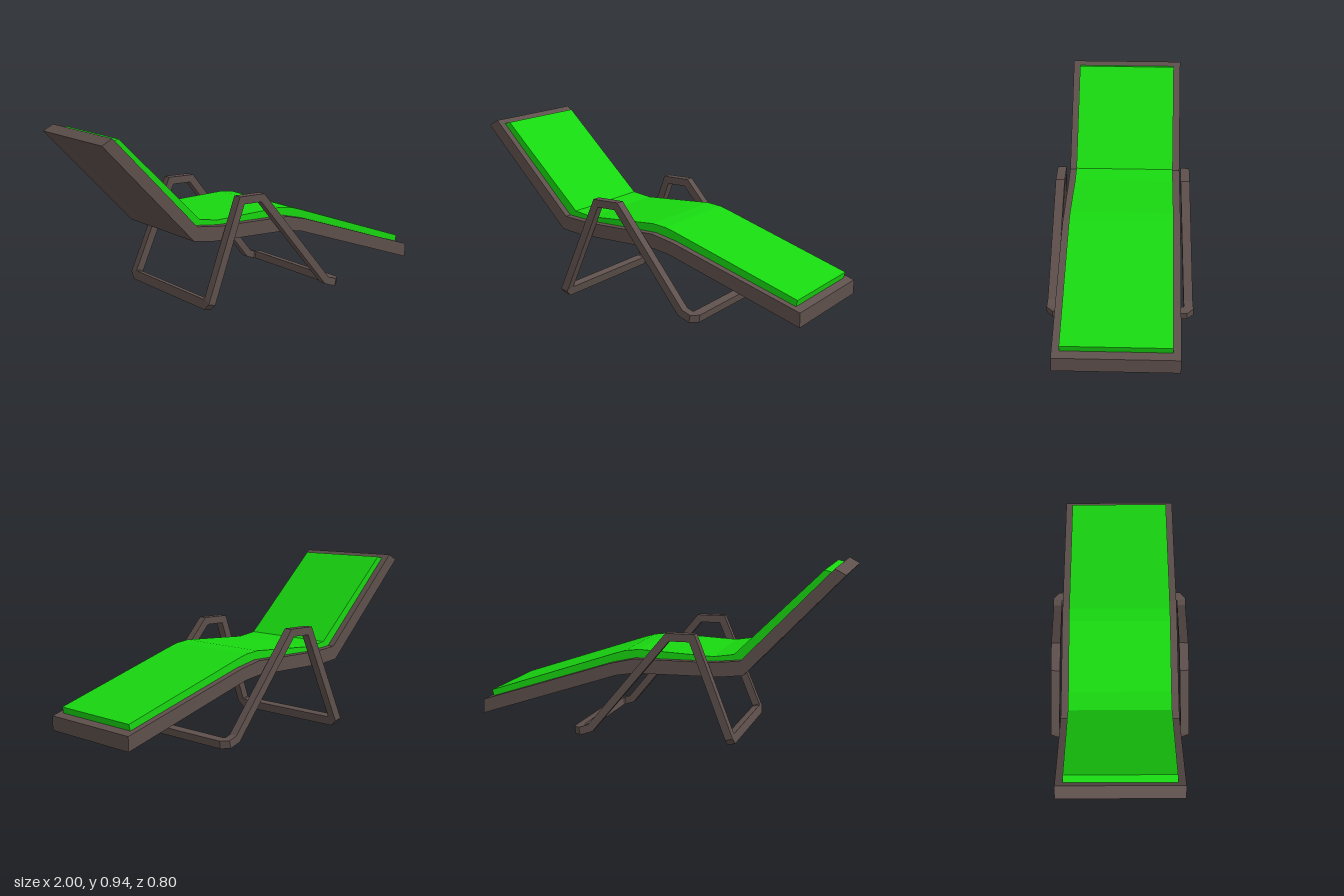
import * as THREE from 'three';

const frameMat = new THREE.MeshStandardMaterial({ color: 0x5e504c, flatShading: true, side: THREE.DoubleSide });
const cushionMat = new THREE.MeshStandardMaterial({ color: 0x18d810, flatShading: true });

// Side profile (x, y) extruded across the width, centred on z = 0
function slab(name, points, width, material) {
  const shape = new THREE.Shape(points.map(([x, y]) => new THREE.Vector2(x, y)));
  const geo = new THREE.ExtrudeGeometry(shape, { depth: width, bevelEnabled: false });
  geo.translate(0, 0, -width / 2);
  const mesh = new THREE.Mesh(geo, material);
  mesh.name = name;
  return mesh;
}

// Rectangular bar swept along a path with mitred joints; the ends are cut at
// the mirror planes (constant x at the start, constant z at the end).
function mitredBar(path, halfY, halfZ) {
  const pts = path.map((p) => new THREE.Vector3(...p));
  const dirs = pts.slice(1).map((p, i) => p.clone().sub(pts[i]).normalize());
  const corners = [[-1, -1], [1, -1], [1, 1], [-1, 1]];
  let ring = corners.map(([a, b]) => pts[0].clone().add(new THREE.Vector3(0, a * halfY, b * halfZ)));
  const rings = [ring];
  for (let i = 1; i < pts.length; i++) {
    const d = dirs[i - 1];
    const n = dirs[i] ? d.clone().add(dirs[i]).normalize() : new THREE.Vector3(0, 0, 1);
    ring = ring.map((v) => v.clone().addScaledVector(d, pts[i].clone().sub(v).dot(n) / d.dot(n)));
    rings.push(ring);
  }
  const flip = dirs[0].x < 0;
  const index = [];
  for (let i = 0; i < rings.length - 1; i++) {
    for (let k = 0; k < 4; k++) {
      const a = i * 4 + k, b = i * 4 + (k + 1) % 4, c = b + 4, e = a + 4;
      if (flip) index.push(a, e, b, b, e, c);
      else index.push(a, b, e, b, c, e);
    }
  }
  let geo = new THREE.BufferGeometry().setFromPoints(rings.flat());
  geo.setIndex(index);
  geo = geo.toNonIndexed();
  geo.computeVertexNormals();
  return geo;
}

export function createModel() {
  const model = new THREE.Group();
  model.name = 'sunLounger';

  // Reclining bed
  model.add(slab('bedFrame', [
    [-1, 0.91], [-0.48, 0.37], [-0.36, 0.355], [0.12, 0.35], [0.22, 0.333], [1, 0.077],
    [1, 0.155], [0.25, 0.398], [0.12, 0.428], [-0.31, 0.43], [-0.46, 0.445], [-0.942, 0.942],
  ], 0.65, frameMat));

  // Cushion, sunk slightly into the bed
  model.add(slab('cushion', [
    [-0.925, 0.92], [-0.46, 0.435], [-0.31, 0.42], [0.12, 0.42], [0.25, 0.39], [0.955, 0.162],
    [0.965, 0.203], [0.24, 0.446], [0.18, 0.464], [0.1, 0.474], [-0.31, 0.455], [-0.42, 0.472], [-0.885, 0.93],
  ], 0.57, cushionMat));

  // Legs: from the middle of the armrest down to the middle of each floor bar
  const legs = {
    headLeg: [[-0.15, 0.562, 0.35], [-0.215, 0.562, 0.35], [-0.42, 0.05, 0.376], [-0.423, 0.031, 0.355], [-0.423, 0.031, 0]],
    footLeg: [[-0.15, 0.562, 0.35], [-0.08, 0.562, 0.35], [0.345, 0.05, 0.373], [0.395, 0.033, 0.376], [0.418, 0.032, 0.355], [0.418, 0.032, 0]],
  };
  for (const [name, path] of Object.entries(legs)) {
    const geo = mitredBar(path, 0.021, 0.025);
    for (const side of [1, -1]) {
      const leg = new THREE.Mesh(geo, frameMat);
      leg.name = name + (side > 0 ? 'Front' : 'Back');
      leg.scale.z = side;
      model.add(leg);
    }
  }
  return model;
}
